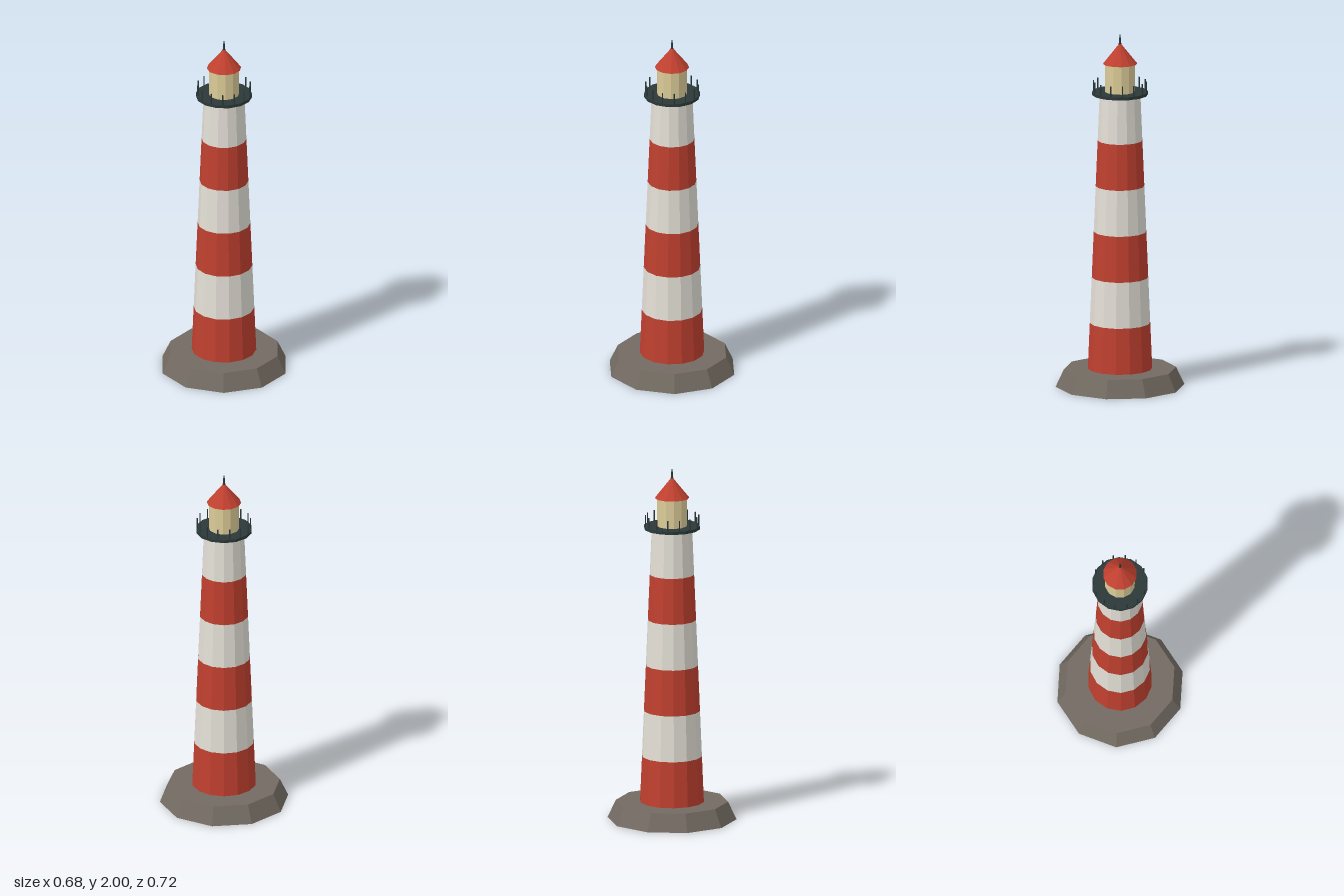
import * as THREE from 'three';

const flat = (name, color) => {
  const m = new THREE.MeshStandardMaterial({ color, flatShading: true });
  m.name = name;
  return m;
};

export function createModel() {
  const model = new THREE.Group();
  model.name = 'lighthouse';

  const stone = flat('stone grey', 0x736b62);
  const red = flat('red paint', 0xc0402f);
  const white = flat('white paint', 0xe4e0d7);
  const iron = flat('dark iron', 0x2c3838);
  const glass = flat('lantern cream', 0xdccc98);

  // Upright tapered prism between two heights
  const prism = (name, material, y0, y1, r0, r1, sides, open = false) => {
    const geometry = new THREE.CylinderGeometry(r1, r0, y1 - y0, sides, 1, open);
    const mesh = new THREE.Mesh(geometry, material);
    mesh.name = name;
    mesh.position.y = (y0 + y1) / 2;
    model.add(mesh);
    return mesh;
  };

  // Rock footing
  prism('base', stone, 0, 0.1, 0.36, 0.313, 10);

  // Tower in six alternating bands
  const bands = 6, bottom = 0.1, bandHeight = 0.26;
  const radiusAt = (i) => THREE.MathUtils.lerp(0.18, 0.114, i / bands);
  for (let i = 0; i < bands; i++) {
    const y = bottom + i * bandHeight;
    prism(`towerBand${i + 1}`, i % 2 ? white : red, y, y + bandHeight,
      radiusAt(i), radiusAt(i + 1), 14, true);
  }

  // Gallery deck with a ring of posts
  prism('galleryDeck', iron, 1.66, 1.677, 0.157, 0.157, 14);
  for (let i = 0; i < 14; i++) {
    const a = (i / 14) * Math.PI * 2;
    const post = prism(`galleryPost${i + 1}`, iron, 1.67, 1.737, 0.004, 0.004, 5);
    post.position.x = Math.cos(a) * 0.148;
    post.position.z = Math.sin(a) * 0.148;
  }

  // Lantern room, roof and finial
  prism('lanternRoom', glass, 1.677, 1.838, 0.085, 0.085, 12);
  prism('roof', red, 1.836, 1.956, 0.096, 0, 12);
  prism('finial', iron, 1.94, 2, 0.008, 0.003, 6);

  return model;
}
